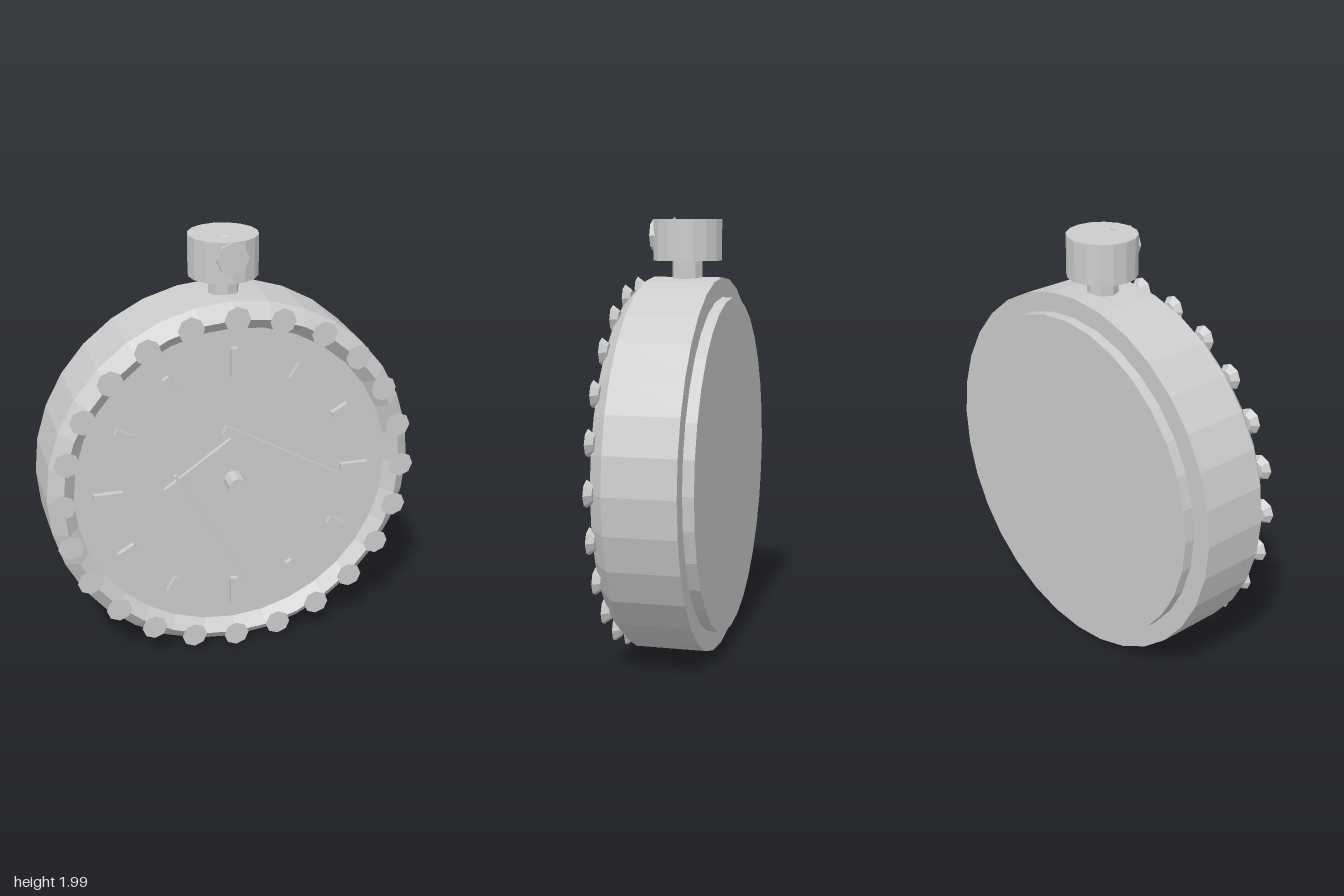
import * as THREE from 'three';

const CY = 0.87; // height of the dial centre

export function createModel() {
  const metal = new THREE.MeshStandardMaterial({ color: 0xcccccc, flatShading: true });
  metal.name = 'greyMetal';
  const model = new THREE.Group();
  model.name = 'pocketWatch';

  const add = (name, geometry, x, y, z, parent = model) => {
    const mesh = new THREE.Mesh(geometry, metal);
    mesh.name = name;
    mesh.position.set(x, y, z);
    parent.add(mesh);
    return mesh;
  };
  // Cylinder along z, from z0 (radius r0) to z1 (radius r1)
  const disc = (name, r0, r1, z0, z1, sides, x = 0, y = CY, parent = model) =>
    add(name, new THREE.CylinderGeometry(r1, r0, z1 - z0, sides).rotateX(Math.PI / 2), x, y, (z0 + z1) / 2, parent);
  // Flat bar on the dial between two points
  const bar = (name, [ax, ay], [bx, by], width, z0, z1, parent = model) => {
    const length = Math.hypot(bx - ax, by - ay);
    const mesh = add(name, new THREE.BoxGeometry(length, width, z1 - z0),
      (ax + bx) / 2, (ay + by) / 2, (z0 + z1) / 2, parent);
    mesh.rotation.z = Math.atan2(by - ay, bx - ax);
    return mesh;
  };

  // Case, back cover, dial and bevelled bezel
  disc('case', 0.86, 0.86, -0.185, 0.135, 32);
  disc('backCover', 0.77, 0.77, -0.235, -0.185, 32);
  disc('dial', 0.745, 0.745, 0.13, 0.145, 32);
  add('bezel', new THREE.TorusGeometry(0.795, 0.065, 4, 32), 0, CY, 0.135);

  // Studs around the bezel, widest at the front
  const studs = new THREE.Group();
  studs.name = 'bezelStuds';
  model.add(studs);
  for (let i = 0; i < 24; i++) {
    const a = (i / 24) * Math.PI * 2;
    disc('stud', 0.036, 0.06, 0.18, 0.212, 8, 0.8 * Math.cos(a), CY + 0.8 * Math.sin(a), studs);
  }

  // Hour markers, longer at the quarters
  const markers = new THREE.Group();
  markers.name = 'hourMarkers';
  model.add(markers);
  for (let i = 0; i < 12; i++) {
    const a = (i / 12) * Math.PI * 2;
    const half = i % 3 === 0 ? 0.0675 : 0.042;
    const at = r => [r * Math.cos(a), CY + r * Math.sin(a)];
    bar('marker', at(0.585 - half), at(0.585 + half), 0.032, 0.14, 0.17, markers);
  }

  // Hands and centre pin
  bar('hourHand', [-0.312, 0.845], [0.026, 1.08], 0.055, 0.145, 0.165);
  bar('minuteHand', [-0.05, 1.138], [0.476, 0.84], 0.045, 0.16, 0.185);
  bar('secondHand', [-0.286, 0.952], [0.05, 0.36], 0.014, 0.185, 0.203);
  disc('centrePin', 0.045, 0.045, 0.14, 0.235, 10);

  // Stem and crown
  add('stem', new THREE.CylinderGeometry(0.07, 0.07, 0.16, 8), 0, 1.75, -0.022);
  add('crown', new THREE.CylinderGeometry(0.158, 0.158, 0.185, 16), 0, 1.8975, -0.025);

  // Stud set into the front of the crown; its back tip breaks the top face
  const profile = [[0, 0.02], [0.083, 0.035], [0.073, 0.05], [0.073, 0.138], [0, 0.138]]
    .map(([r, z]) => new THREE.Vector2(r, z));
  add('crownStud', new THREE.LatheGeometry(profile, 8).rotateX(Math.PI / 2), 0, 1.917, 0);

  return model;
}
